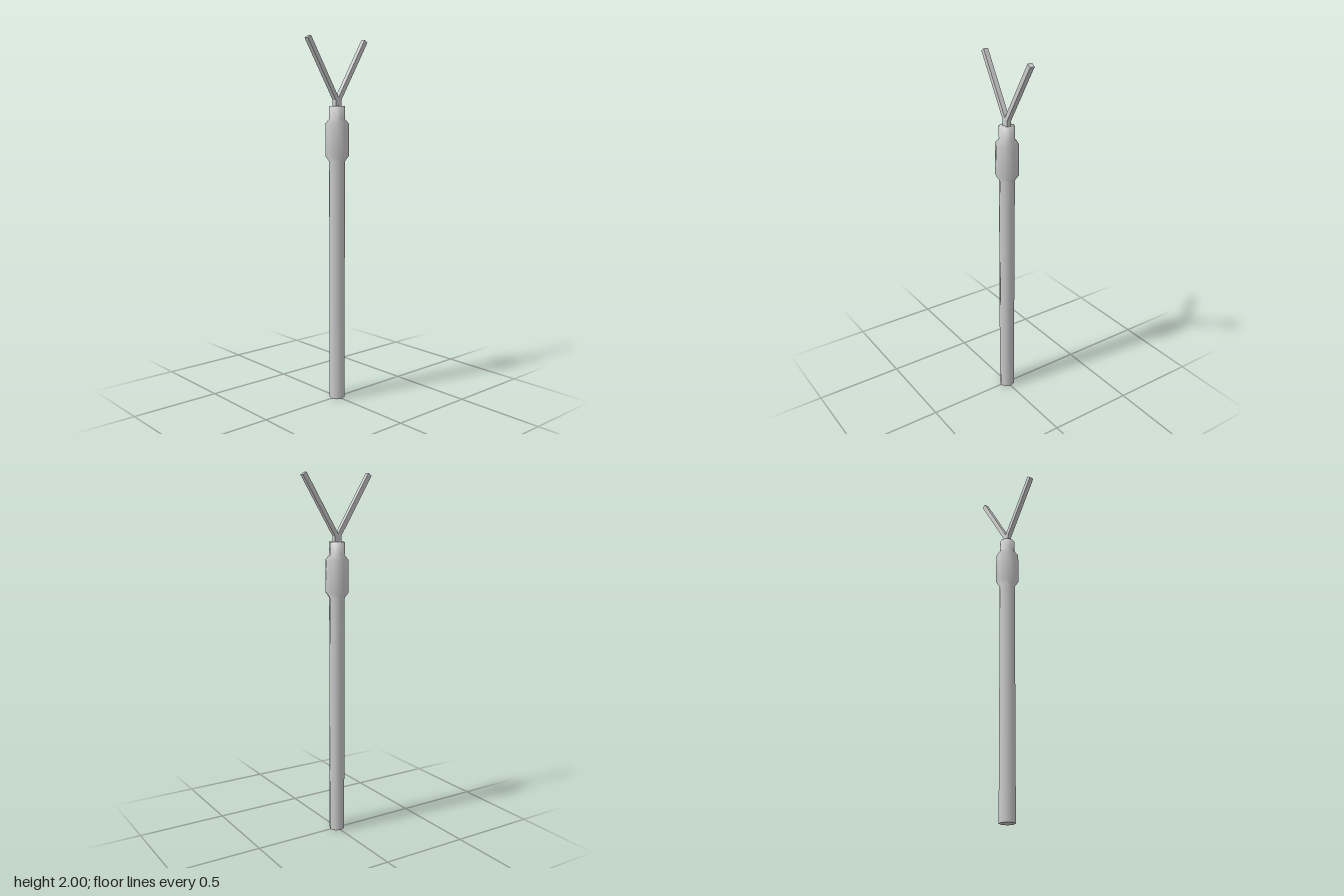
import * as THREE from 'three';

const material = new THREE.MeshStandardMaterial({ color: 0xcccccc });

function addMesh(group, name, geometry) {
  const mesh = new THREE.Mesh(geometry, material);
  mesh.name = name;
  group.add(mesh);
  return mesh;
}

export function createModel() {
  const group = new THREE.Group();
  group.name = 'forkedPole';

  // Eight-sided pole with a thicker sleeve near the top, smoothly shaded
  const profile = [
    [0.043, 0], [0.043, 1.34], [0.064, 1.37], [0.064, 1.545],
    [0.043, 1.57], [0.043, 1.64], [0, 1.64],
  ].map(([r, y]) => new THREE.Vector2(r, y));
  addMesh(group, 'poleAndSleeve', new THREE.LatheGeometry(profile, 8));

  // Flat underside of the pole
  const base = addMesh(group, 'poleBase', new THREE.CircleGeometry(0.043, 8));
  base.rotation.x = Math.PI / 2;

  // Y-shaped fork: one half outline, mirrored, extruded across x
  const half = [[0.019, 1.63], [0.019, 1.67], [0.212, 1.986], [0.191, 2.0]];
  const mirrored = half.map(([z, y]) => [-z, y]).reverse();
  const outline = [...half, [0, 1.685], ...mirrored];
  const shape = new THREE.Shape(outline.map(([z, y]) => new THREE.Vector2(z, y)));
  const forkGeometry = new THREE.ExtrudeGeometry(shape, { depth: 0.027, bevelEnabled: false });
  forkGeometry.translate(0, 0, -0.0135);
  forkGeometry.rotateY(Math.PI / 2);
  addMesh(group, 'fork', forkGeometry);

  return group;
}
